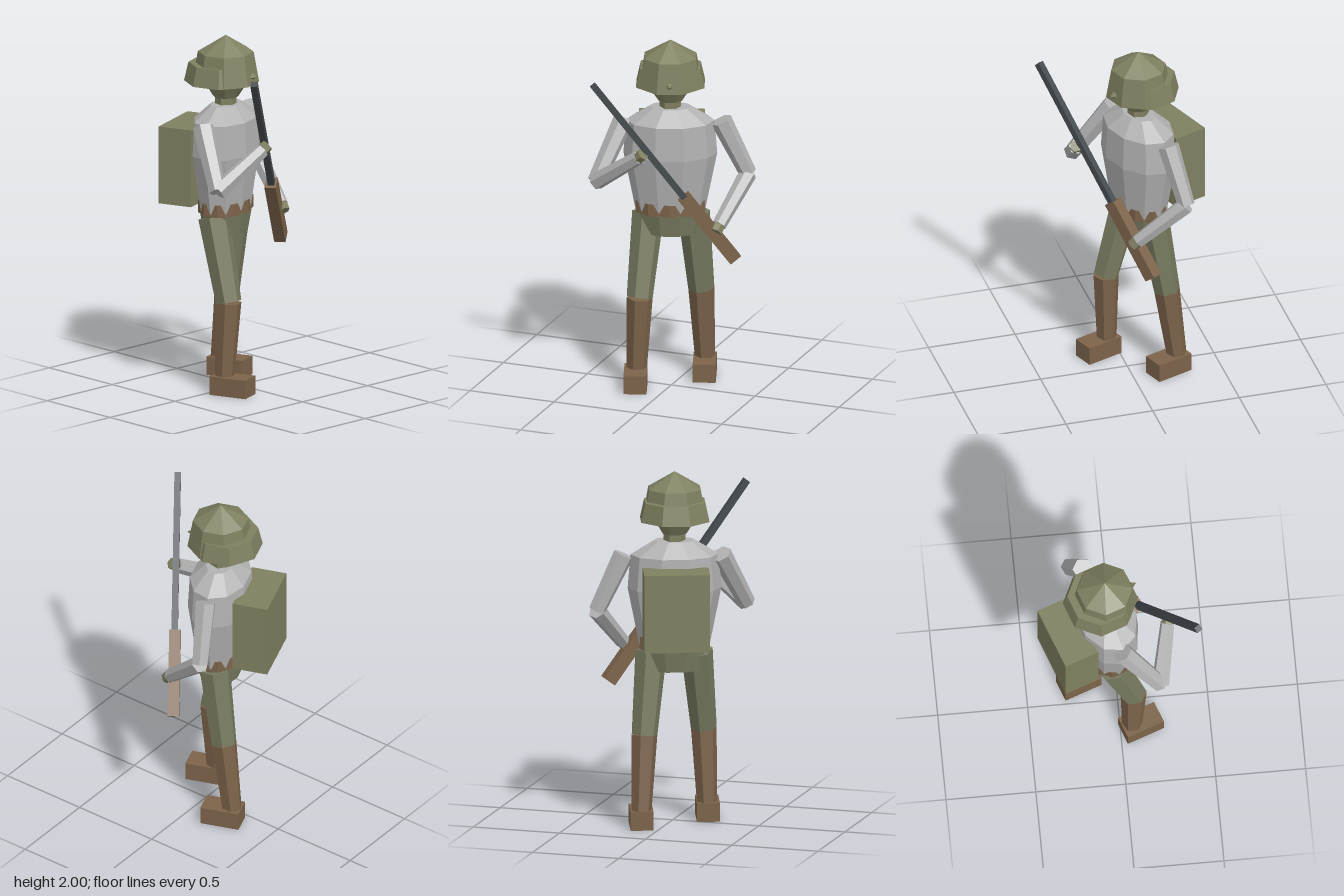
import * as THREE from 'three';

const V = (a) => new THREE.Vector3(...a);

export function createModel() {
  const mat = (name, color) => {
    const m = new THREE.MeshStandardMaterial({ color });
    m.name = name;
    return m;
  };
  const olive = mat('olive helmet', 0x7f8060);
  const green = mat('green trousers', 0x787b60);
  const grey = mat('grey tunic', 0xb2b2b2);
  const brown = mat('brown leather', 0x7c634a);
  const steel = mat('dark steel', 0x444a4e);

  const model = new THREE.Group();
  model.name = 'soldier';

  // Faceted mesh: every face gets its own normal
  const add = (parent, name, geo, material) => {
    const g = geo.index ? geo.toNonIndexed() : geo;
    g.computeVertexNormals();
    const mesh = new THREE.Mesh(g, material);
    mesh.name = name;
    parent.add(mesh);
    return mesh;
  };

  // Turned body part from [radius, height] points, squashed in depth
  const turned = (parent, name, profile, sides, depth, material, start = Math.PI / sides) => {
    const geo = new THREE.LatheGeometry(profile.map((p) => new THREE.Vector2(...p)), sides, start);
    geo.scale(1, 1, depth);
    return add(parent, name, geo, material);
  };

  // Tapered limb segment between two points
  const limb = (name, from, to, r1, r2, material, sides = 6) => {
    const a = V(from), b = V(to), dir = b.clone().sub(a);
    const mesh = add(model, name, new THREE.CylinderGeometry(r2, r1, dir.length(), sides), material);
    mesh.position.copy(a).add(b).multiplyScalar(0.5);
    mesh.quaternion.setFromUnitVectors(new THREE.Vector3(0, 1, 0), dir.normalize());
    return mesh;
  };

  // Square bar between two points
  const bar = (name, from, to, w, h, material) => {
    const a = V(from), b = V(to);
    const mesh = add(model, name, new THREE.BoxGeometry(w, h, a.distanceTo(b)), material);
    mesh.position.copy(a).add(b).multiplyScalar(0.5);
    mesh.lookAt(b);
    return mesh;
  };

  // Trunk and head, turned a little to the model's left
  const turn = THREE.MathUtils.degToRad(20);
  const body = new THREE.Group();
  body.name = 'body';
  body.position.set(-0.035, 0, -0.075);
  body.rotation.y = turn;
  model.add(body);

  turned(body, 'tunic', [[0, 1.015], [0.195, 1.015], [0.26, 1.34], [0.245, 1.53], [0.115, 1.61], [0, 1.61]], 10, 0.67, grey);
  turned(body, 'belt', [[0, 1.0], [0.203, 1.0], [0.203, 1.07], [0, 1.07]], 10, 0.68, brown, 0);
  turned(body, 'hips', [[0, 0.88], [0.165, 0.88], [0.195, 1.005], [0, 1.005]], 10, 0.7, green);
  turned(body, 'neck', [[0, 1.58], [0.06, 1.58], [0.06, 1.67], [0, 1.67]], 6, 1, olive);
  turned(body, 'head', [[0, 1.65], [0.07, 1.65], [0.12, 1.73], [0.12, 1.8], [0, 1.8]], 8, 1, olive);

  // Helmet crown, with a wider guard set back around the sides and nape
  turned(body, 'helmetCrown', [[0, 1.735], [0.185, 1.735], [0.155, 1.905], [0, 2.0]], 8, 1, olive);
  turned(body, 'helmetGuard', [[0, 1.733], [0.205, 1.733], [0.18, 1.84], [0, 1.84]], 8, 1, olive).position.z = -0.03;
  const stud = add(body, 'helmetStud', new THREE.ConeGeometry(0.02, 0.03, 5), olive);
  stud.rotation.x = Math.PI / 2;
  stud.position.set(0, 1.78, 0.178);

  const pack = add(body, 'backpack', new THREE.BoxGeometry(0.365, 0.44, 0.2), olive);
  pack.position.set(0, 1.26, -0.225);

  // Legs in mid-stride: hip, knee, ankle, boot centre
  const legs = {
    right: [[-0.155, 0.985, -0.045], [-0.158, 0.52, 0.075], [-0.18, 0.08, 0.065], [-0.167, 0.0525, 0.115]],
    left: [[0.085, 0.985, -0.125], [0.1, 0.52, -0.2], [0.1, 0.08, -0.258], [0.118, 0.0525, -0.205]],
  };
  for (const [side, [hip, knee, ankle, sole]] of Object.entries(legs)) {
    limb(side + 'Thigh', knee, hip, 0.073, 0.09, green);
    limb(side + 'Gaiter', ankle, knee, 0.056, 0.073, brown);
    const boot = add(model, side + 'Boot', new THREE.BoxGeometry(0.128, 0.105, 0.22), brown);
    boot.position.set(...sole);
    boot.rotation.y = turn;
  }

  // Arms: shoulder, elbow, wrist, fingertips
  const arms = {
    right: [[-0.28, 1.53, 0.0], [-0.368, 1.215, 0.205], [-0.085, 1.415, 0.27], [-0.055, 1.44, 0.28]],
    left: [[0.23, 1.53, -0.17], [0.365, 1.215, -0.235], [0.295, 0.985, 0.025], [0.288, 0.955, 0.055]],
  };
  for (const [side, [shoulder, elbow, wrist, tip]] of Object.entries(arms)) {
    limb(side + 'UpperArm', elbow, shoulder, 0.048, 0.06, grey);
    limb(side + 'Forearm', wrist, elbow, 0.04, 0.05, grey);
    limb(side + 'Hand', wrist, tip, 0.036, 0.034, olive);
  }

  // Rifle held across the body
  bar('rifleBarrel', [0.13, 1.15, 0.12], [-0.298, 1.86, 0.422], 0.036, 0.036, steel);
  bar('rifleStock', [0.36, 0.775, -0.045], [0.125, 1.16, 0.12], 0.064, 0.075, brown);

  return model;
}
